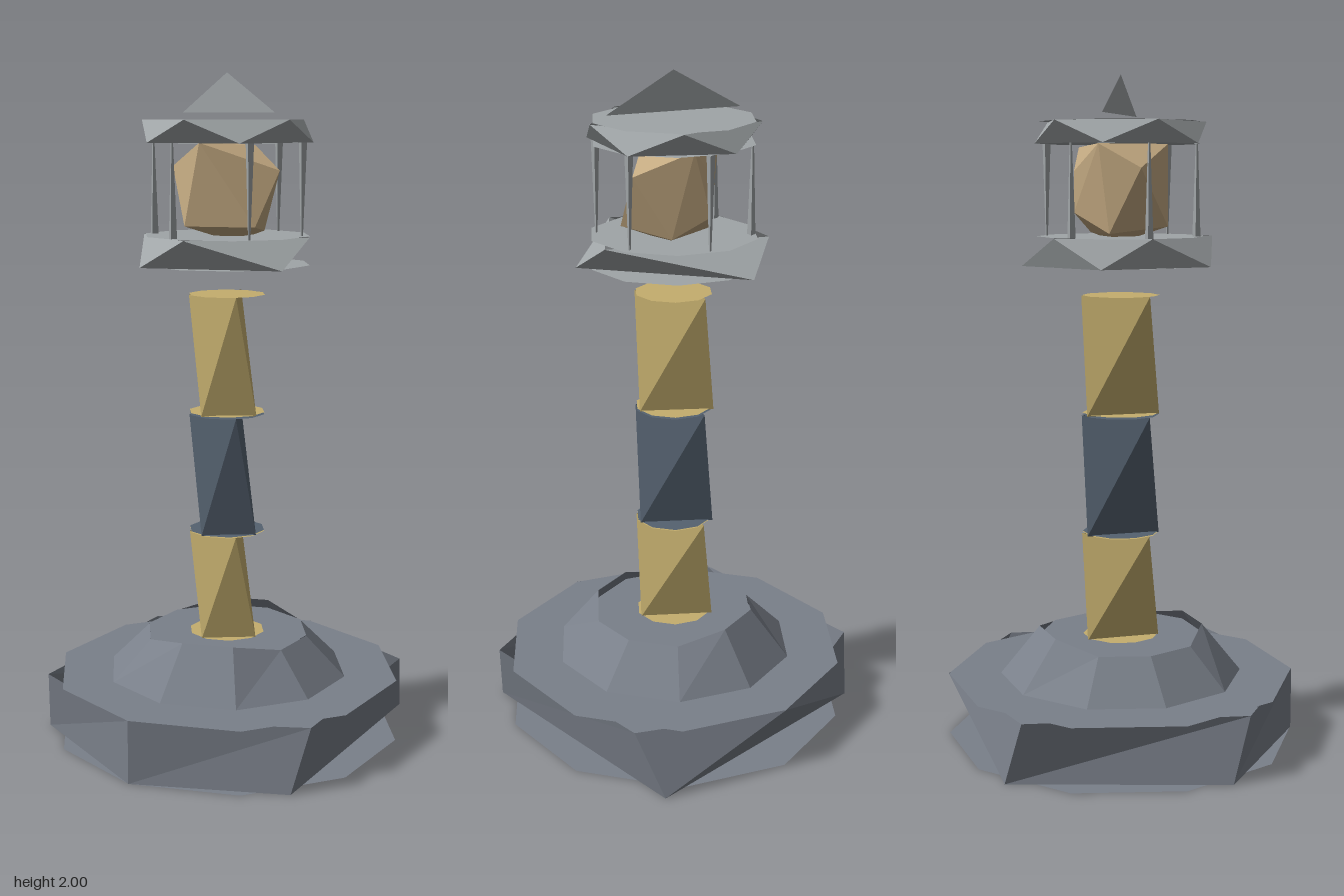
import * as THREE from 'three';
import { ConvexGeometry } from 'three/addons/geometries/ConvexGeometry.js';

const mat = (color) => new THREE.MeshStandardMaterial({ color, flatShading: true, side: THREE.DoubleSide });
const stone = mat(0x7a808a), metal = mat(0xa0a5a7), gold = mat(0xc4ae6e), blue = mat(0x556270), glow = mat(0xc4aa82);

// lift [x, z] pairs to points at height y
const at = (y, pts) => pts.map(([x, z]) => [x, y, z]);

// regular ring of points, running from the left of the front to the right
const ring = (n, r, y, turn = 0) => Array.from({ length: n }, (_, i) => {
  const a = turn + (i / n) * Math.PI * 2;
  return [r * Math.sin(a), y, r * Math.cos(a)];
});

// side wall between an upper and a lower ring of equal count
function wall(top, bottom) {
  const n = top.length, pos = [];
  for (let i = 0; i < n; i++) {
    const j = (i + 1) % n;
    pos.push(...top[i], ...bottom[i], ...top[j], ...bottom[i], ...bottom[j], ...top[j]);
  }
  const g = new THREE.BufferGeometry();
  g.setAttribute('position', new THREE.Float32BufferAttribute(pos, 3));
  g.computeVertexNormals();
  return g;
}

export function createModel() {
  const model = new THREE.Group();
  const add = (name, geometry, material, parent = model) => {
    const m = new THREE.Mesh(geometry, material);
    m.name = name;
    parent.add(m);
    return m;
  };
  const group = (name) => {
    const g = new THREE.Group();
    g.name = name;
    model.add(g);
    return g;
  };
  // ten-sided flat plate
  const plate = (name, r, y, material, parent, up = true) => {
    const m = add(name, new THREE.CircleGeometry(r, 10), material, parent);
    m.rotation.x = up ? -Math.PI / 2 : Math.PI / 2;
    m.position.y = y;
  };

  // broad foundation: decagonal plates with a skewed six-sided wall
  const base = group('foundation');
  add('foundationWall', wall(
    at(0.19, [[-0.165, 0.505], [0.35, 0.43], [0.512, -0.2], [0.165, -0.505], [-0.35, -0.43], [-0.515, 0.2]]),
    at(0, [[-0.165, 0.505], [0.3, 0.466], [0.502, -0.3], [-0.3, -0.466], [-0.3, -0.466], [-0.535, 0.14]])
  ), stone, base);
  plate('foundationTop', 0.53, 0.19, stone, base);
  plate('foundationBottom', 0.53, 0, stone, base, false);

  // sloping plinth with a slightly raised rim at front and back
  const plinth = group('plinth');
  const step = Math.PI / 10;
  const rim = ring(10, 0.25, 0.31, step).map(([x, y, z]) => [x, Math.abs(z) > 0.2 ? 0.338 : y, z]);
  add('plinthWall', wall(rim, ring(10, 0.37, 0.19, step)), stone, plinth);
  plate('plinthTop', 0.25, 0.312, stone, plinth);

  // tower of three skewed segments
  [[0.31, 0.633, gold], [0.633, 0.995, blue], [0.998, 1.355, gold]].forEach(([y0, y1, m], i) => {
    const seg = group('towerSegment' + (i + 1));
    add('towerWall', wall(
      at(y1, [[-0.103, 0.053], [0.053, 0.103], [0.015, -0.12]]),
      at(y0, [[-0.053, 0.103], [0.103, 0.053], [-0.035, -0.12]])
    ), m, seg);
    plate('towerTop', 0.116, y1, m, seg);
    plate('towerBottom', 0.116, y0 + 0.003, m, seg, false);
  });

  // gallery deck
  const gallery = group('gallery');
  add('galleryWall', wall(
    at(1.53, [[-0.255, 0], [-0.06, 0.27], [0.26, 0.06], [-0.12, -0.25]]),
    at(1.445, [[-0.21, 0.2], [0.21, 0.2], [0.04, -0.296], [-0.24, -0.15]])
  ), metal, gallery);
  plate('galleryTop', 0.25, 1.53, metal, gallery);
  plate('galleryBottom', 0.25, 1.445, metal, gallery, false);

  // faceted lamp
  const lampPoints = [
    [-0.165, 1.73, 0], [-0.05, 1.8, 0.13], [0.165, 1.72, 0.03], [0.06, 1.79, -0.11], [-0.08, 1.8, -0.1],
    [0.02, 1.72, -0.14], [0.02, 1.6, -0.14], [0.11, 1.56, 0.11], [-0.1, 1.56, 0.11], [0.1, 1.54, -0.06],
    [-0.09, 1.54, -0.07], [0.02, 1.51, 0],
  ];
  add('lamp', new ConvexGeometry(lampPoints.map((p) => new THREE.Vector3(...p))), glow);

  // six thin tapering posts
  const posts = group('lanternPosts');
  for (let i = 0; i < 6; i++) {
    const a = (i / 6) * Math.PI * 2, x = 0.225 * Math.cos(a), z = 0.225 * Math.sin(a);
    const [rt, rb] = x > 0 ? [0.014, 0.004] : [0.004, 0.014];
    add('post', new THREE.CylinderGeometry(rt, rb, 0.27, 3), metal, posts).position.set(x, 1.665, z);
  }

  // lantern roof slab
  const roof = group('lanternRoof');
  add('roofWall', wall(ring(5, 0.255, 1.865, -0.25), ring(5, 0.255, 1.8, 0.38)), metal, roof);
  plate('roofTop', 0.24, 1.865, metal, roof);
  plate('roofBottom', 0.24, 1.8, metal, roof, false);

  // upright triangular finial
  const fin = new THREE.BufferGeometry();
  fin.setAttribute('position', new THREE.Float32BufferAttribute([-0.168, 1.885, -0.12, 0.168, 1.885, 0.115, 0, 2, 0], 3));
  fin.computeVertexNormals();
  add('finial', fin, metal);

  return model;
}
